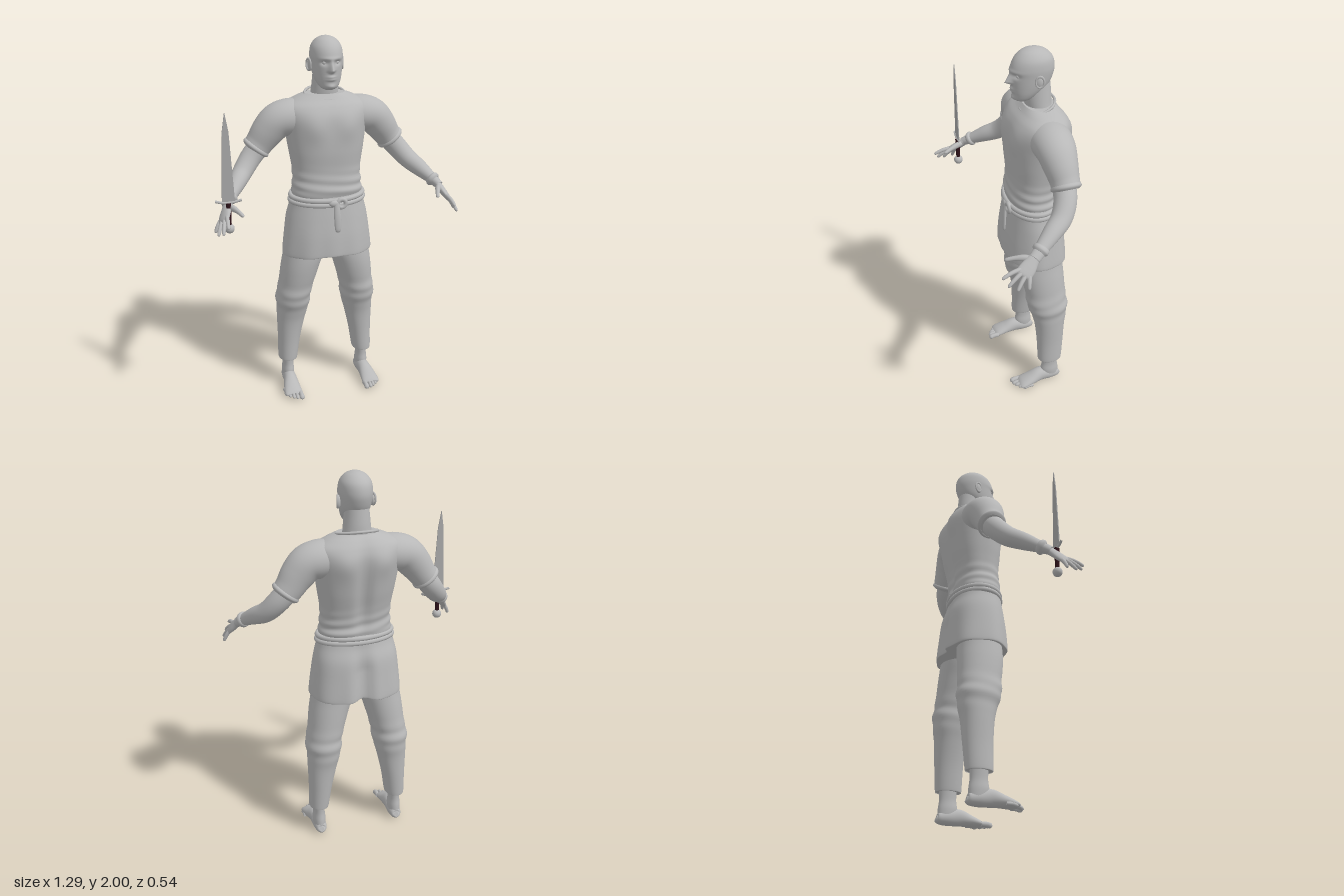
import * as THREE from 'three';

const mat = (name, color, side = THREE.FrontSide) => {
  const m = new THREE.MeshStandardMaterial({ color, side });
  m.name = name;
  return m;
};
const V = (x, y, z) => new THREE.Vector3(x, y, z);
const bump = (d, w) => Math.exp(-(d / w) * (d / w));

// Smooth interpolation of every column of a table of rings
function sample(rows, t) {
  const i = Math.min(Math.floor(t), rows.length - 2), f = t - i;
  const at = k => rows[Math.max(0, Math.min(rows.length - 1, k))];
  return rows[i].map((p1, c) => {
    const p2 = at(i + 1)[c], m1 = (p2 - at(i - 1)[c]) / 2, m2 = (at(i + 2)[c] - p1) / 2;
    return (2 * f ** 3 - 3 * f * f + 1) * p1 + (f ** 3 - 2 * f * f + f) * m1
      + (3 * f * f - 2 * f ** 3) * p2 + (f ** 3 - f * f) * m2;
  });
}

// Skin over rings [x, y, z, a, b]; without ref the rings lie flat and run upwards,
// with ref they stand across the path and b points along ref
function loft(rows, { n = 32, steps = 6, ref = null, square = 1, bend = null } = {}) {
  const pos = [], idx = [], count = (rows.length - 1) * steps + 1;
  const soft = c => Math.sign(c) * Math.abs(c) ** square;
  for (let i = 0; i < count; i++) {
    const t = i / steps, r = sample(rows, t), c = V(r[0], r[1], r[2]);
    let u = V(1, 0, 0), v = V(0, 0, 1);
    if (ref) {
      const p = sample(rows, Math.max(0, t - 0.1)), q = sample(rows, Math.min(rows.length - 1, t + 0.1));
      const T = V(q[0] - p[0], q[1] - p[1], q[2] - p[2]).normalize();
      u = T.clone().cross(ref).normalize();
      v = u.clone().cross(T);
    }
    for (let j = 0; j < n; j++) {
      const w = (j / n) * Math.PI * 2;
      const p = c.clone().addScaledVector(u, Math.max(r[3], 0.001) * soft(Math.cos(w)))
        .addScaledVector(v, Math.max(r[4], 0.001) * soft(Math.sin(w)));
      if (bend) bend(p, c);
      pos.push(p.x, p.y, p.z);
      if (i < count - 1) {
        const a = i * n + j, b = i * n + (j + 1) % n;
        idx.push(a, a + n, b, b, a + n, b + n);
      }
    }
  }
  // End caps with their own corners
  for (const [start, last] of [[0, false], [(count - 1) * n, true]]) {
    const base = pos.length / 3, mid = V(0, 0, 0);
    for (let j = 0; j < n; j++) {
      const p = V(...pos.slice((start + j) * 3, (start + j) * 3 + 3));
      mid.addScaledVector(p, 1 / n);
      pos.push(p.x, p.y, p.z);
    }
    pos.push(mid.x, mid.y, mid.z);
    for (let j = 0; j < n; j++) {
      const a = base + j, b = base + (j + 1) % n;
      idx.push(base + n, last ? b : a, last ? a : b);
    }
  }
  const g = new THREE.BufferGeometry();
  g.setAttribute('position', new THREE.Float32BufferAttribute(pos, 3));
  g.setIndex(idx);
  g.computeVertexNormals();
  return g;
}

// Rope around the body; y is a function of the angle
function hoop(a, b, z, yOf, r) {
  const pts = [];
  for (let i = 0; i < 24; i++) {
    const w = (i / 24) * Math.PI * 2;
    pts.push(V(a * Math.cos(w), yOf(w), z + b * Math.sin(w)));
  }
  return new THREE.TubeGeometry(new THREE.CatmullRomCurve3(pts, true), 96, r, 8, true);
}

// Face relief: brow, sockets, nose, lips, chin
function face(p) {
  if (p.z < -0.05) return;
  const { x, y } = p, ax = Math.abs(x);
  const nose = y > 1.838 ? Math.max(0, (1.895 - y) / 0.057) : Math.max(0, 1 - (1.838 - y) / 0.014);
  p.z += 0.034 * nose * bump(x, 0.009 + 0.006 * nose)
    - 0.013 * bump(ax - 0.034, 0.017) * bump(y - 1.877, 0.011)
    + 0.006 * bump(y - 1.897, 0.009) * bump(x, 0.055)
    + 0.009 * bump(x, 0.022) * (bump(y - 1.806, 0.005) + bump(y - 1.793, 0.006))
    + 0.009 * bump(x, 0.022) * bump(y - 1.757, 0.012);
}

// Shirt relief: spine groove, chest, gathered folds above the belt
function shirtFolds(p, c) {
  const { x, y } = p, ax = Math.abs(x), fold = 1 + 0.022 * Math.sin(y * 110 + x * 14) * bump(y - 1.24, 0.06);
  if (p.z < c.z) p.z += 0.024 * bump(x, 0.035) * bump(y - 1.42, 0.22) - 0.014 * bump(ax - 0.1, 0.06) * bump(y - 1.58, 0.07);
  else p.z += 0.012 * bump(ax - 0.09, 0.06) * bump(y - 1.55, 0.07);
  p.x = c.x + (p.x - c.x) * fold;
  p.z = c.z + (p.z - c.z) * fold;
}

function skirtFolds(p, c) {
  const low = Math.max(0, (1.15 - p.y) / 0.3), w = Math.atan2(p.z - c.z, p.x);
  const k = 1 + 0.014 * low * Math.sin(w * 9);
  p.x *= k;
  p.z = c.z + (p.z - c.z) * k;
  if (p.z < c.z) p.z += 0.03 * bump(p.x, 0.045) * Math.min(1, low * 2);
  p.y += 0.012 * low * (p.z > c.z ? bump(p.x, 0.15) : 1.3 * bump(p.x, 0.06) - 0.6 * bump(p.x, 0.2));
}

function trouserFolds(p, c) {
  const k = 1 + 0.035 * Math.sin(p.y * 75 + p.z * 10) * bump(p.y - 0.57, 0.07);
  p.x = c.x + (p.x - c.x) * k;
  p.z = c.z + (p.z - c.z) * k;
}

export function createModel() {
  const model = new THREE.Group();
  model.name = 'swordsman';
  const grey = mat('plain grey', 0xb8b8b8);
  const steel = mat('blade grey', 0xa8a8a8);
  const leather = mat('dark grip', 0x2e1219);
  const add = (name, geo, parent = model, m = grey) => {
    const mesh = new THREE.Mesh(geo, m);
    mesh.name = name;
    parent.add(mesh);
    return mesh;
  };

  // Head and neck
  add('neck', loft([[0, 1.62, -0.14, 0.085, 0.07], [0, 1.7, -0.125, 0.074, 0.067],
    [0, 1.76, -0.12, 0.067, 0.068], [0, 1.84, -0.115, 0.06, 0.065]]));
  add('head', loft([[0, 1.736, -0.035, 0.02, 0.02], [0, 1.75, -0.042, 0.046, 0.045],
    [0, 1.78, -0.06, 0.064, 0.07], [0, 1.82, -0.08, 0.075, 0.095], [0, 1.87, -0.09, 0.081, 0.107],
    [0, 1.91, -0.092, 0.083, 0.109], [0, 1.95, -0.095, 0.076, 0.095], [0, 1.98, -0.095, 0.054, 0.066],
    [0, 1.995, -0.095, 0.027, 0.033], [0, 2.0, -0.095, 0.002, 0.002]], { n: 96, steps: 8, bend: face }));

  // Shirt body and collar
  add('shirt', loft([[0, 1.16, -0.09, 0.183, 0.12], [0, 1.2, -0.09, 0.192, 0.13], [0, 1.24, -0.09, 0.185, 0.125],
    [0, 1.32, -0.0975, 0.185, 0.1275], [0, 1.42, -0.105, 0.2, 0.143], [0, 1.52, -0.1125, 0.215, 0.15],
    [0, 1.6, -0.1175, 0.23, 0.146], [0, 1.65, -0.122, 0.222, 0.126], [0, 1.685, -0.126, 0.165, 0.097],
    [0, 1.708, -0.123, 0.105, 0.074]], { n: 80, steps: 8, square: 0.88, bend: shirtFolds }));
  add('collar', hoop(0.106, 0.085, -0.118, w => 1.703 - 0.022 * Math.sin(w), 0.007));

  // Skirt and rope belt
  add('skirt', loft([[0, 0.838, -0.1, 0.24, 0.165], [0, 0.85, -0.1, 0.247, 0.17], [0, 0.95, -0.098, 0.236, 0.163],
    [0, 1.05, -0.098, 0.222, 0.151], [0, 1.12, -0.091, 0.205, 0.134], [0, 1.17, -0.088, 0.195, 0.124],
    [0, 1.19, -0.088, 0.183, 0.115]], { n: 80, square: 0.9, bend: skirtFolds }));
  for (const [k, y] of [1.168, 1.144].entries())
    add('beltRope' + k, hoop(0.197 + k * 0.004, 0.128, -0.088, w => y - 0.008 * Math.sin(w), 0.014));
  const knot = add('beltKnot', new THREE.TorusGeometry(0.022, 0.012, 10, 24));
  knot.position.set(0.045, 1.145, 0.047);
  const lump = add('beltKnotCentre', new THREE.SphereGeometry(0.022, 16, 12));
  lump.position.set(0.005, 1.147, 0.045);
  lump.scale.set(1.4, 0.9, 0.8);
  add('beltTail', loft([[0.02, 0.99, 0.065, 0.008, 0.004], [0.02, 1.01, 0.066, 0.017, 0.009],
    [0.018, 1.08, 0.062, 0.019, 0.01], [0.015, 1.15, 0.053, 0.013, 0.009]], { n: 16 }));

  for (const s of [1, -1]) {
    const side = s > 0 ? 'left' : 'right';
    const half = new THREE.Group();
    half.name = side + 'Limbs';
    model.add(half);
    const mir = rows => rows.map(([x, ...rest]) => [x * s, ...rest]);
    const part = (name, rows, o) => add(side + name, loft(mir(rows), o), half);
    const Z = V(0, 0, 1), Y = V(0, 1, 0);

    // Eye and ear
    const eye = add(side + 'Eye', new THREE.SphereGeometry(0.011, 16, 12), half);
    eye.position.set(0.033 * s, 1.877, -0.009);
    const ear = add(side + 'Ear', new THREE.SphereGeometry(1, 16, 12), half);
    ear.position.set(0.083 * s, 1.855, -0.095);
    ear.scale.set(0.01, 0.031, 0.019);
    ear.rotation.y = -0.35 * s;
    const rim = add(side + 'EarRim', new THREE.TorusGeometry(0.02, 0.005, 8, 24), half);
    rim.position.set(0.09 * s, 1.857, -0.098);
    rim.rotation.y = (Math.PI / 2 - 0.35) * s;
    rim.scale.y = 1.4;

    // Sleeve with rolled hem
    part('Sleeve', [[0.1, 1.59, -0.122, 0.09, 0.1], [0.19, 1.587, -0.122, 0.096, 0.105],
      [0.255, 1.57, -0.122, 0.092, 0.098], [0.305, 1.52, -0.125, 0.086, 0.086],
      [0.345, 1.465, -0.13, 0.075, 0.074], [0.37, 1.433, -0.13, 0.07, 0.07],
      [0.377, 1.425, -0.13, 0.064, 0.064]], { n: 40, ref: Z });
    part('SleeveHem', [[0.359, 1.447, -0.13, 0.068, 0.067], [0.366, 1.438, -0.13, 0.076, 0.075],
      [0.373, 1.429, -0.13, 0.075, 0.074], [0.379, 1.421, -0.13, 0.06, 0.06]], { n: 40, ref: Z });

    // Bare arm and wrist band
    part('Arm', [[0.33, 1.47, -0.127, 0.058, 0.058], [0.4, 1.39, -0.115, 0.056, 0.057],
      [0.455, 1.325, -0.075, 0.051, 0.053], [0.5, 1.285, -0.01, 0.044, 0.046],
      [0.545, 1.243, 0.06, 0.03, 0.034], [0.572, 1.215, 0.105, 0.022, 0.029]], { ref: Z });
    part('WristBand', [[0.54, 1.248, 0.053, 0.03, 0.034], [0.545, 1.243, 0.06, 0.038, 0.041],
      [0.551, 1.237, 0.07, 0.038, 0.041], [0.556, 1.232, 0.078, 0.028, 0.032]], { ref: Z });

    // Hand: palm, four spread fingers, thumb
    const spread = V(-0.03 * s, 0.03, 0.045).normalize();
    part('Palm', [[0.56, 1.227, 0.088, 0.02, 0.026], [0.573, 1.205, 0.115, 0.019, 0.032],
      [0.588, 1.18, 0.143, 0.017, 0.04], [0.6, 1.16, 0.168, 0.013, 0.04],
      [0.604, 1.153, 0.176, 0.006, 0.03]], { n: 24, ref: spread });
    const tips = [[0.592, 1.152, 0.272], [0.615, 1.115, 0.25], [0.635, 1.097, 0.21], [0.642, 1.095, 0.155]];
    tips.forEach((t, i) => {
      const k = i / 3, b = [0.584 + 0.031 * k, 1.178 - 0.034 * k, 0.186 - 0.042 * k];
      const at = (f, lift, r) => [...b.map((c, j) => c + (t[j] - c) * f + (j === 1 ? lift : 0)), r, r];
      part('Finger' + i, [at(-0.15, 0, 0.011), at(0.35, 0.006, 0.0105), at(0.7, 0.005, 0.0095),
        at(0.93, 0.001, 0.0075), at(1, 0, 0.002)], { n: 12, steps: 4, ref: spread });
    });
    part('Thumb', [[0.565, 1.212, 0.112, 0.014, 0.016], [0.545, 1.212, 0.15, 0.014, 0.017],
      [0.528, 1.207, 0.188, 0.011, 0.012], [0.514, 1.198, 0.222, 0.009, 0.009],
      [0.51, 1.195, 0.232, 0.002, 0.002]], { n: 14, ref: Y });

    // Trouser leg
    part('TrouserLeg', [[0.222, 0.172, -0.137, 0.05, 0.066], [0.222, 0.18, -0.137, 0.054, 0.069],
      [0.212, 0.3, -0.14, 0.063, 0.075], [0.2, 0.42, -0.139, 0.078, 0.084], [0.19, 0.5, -0.135, 0.089, 0.1],
      [0.187, 0.57, -0.125, 0.097, 0.113], [0.175, 0.63, -0.12, 0.095, 0.111], [0.15, 0.75, -0.108, 0.105, 0.117],
      [0.127, 0.85, -0.104, 0.112, 0.116], [0.11, 1.0, -0.11, 0.11, 0.11]],
    { n: 48, square: 0.95, bend: trouserFolds });

    // Bare ankle, foot and toes
    part('Ankle', [[0.223, 0.03, -0.145, 0.032, 0.046], [0.223, 0.08, -0.138, 0.035, 0.051],
      [0.223, 0.13, -0.138, 0.031, 0.045], [0.223, 0.2, -0.138, 0.035, 0.048]]);
    part('Foot', [[0.222, 0.036, -0.198, 0.01, 0.012], [0.222, 0.034, -0.187, 0.028, 0.028],
      [0.222, 0.039, -0.14, 0.036, 0.038], [0.224, 0.046, -0.08, 0.037, 0.043],
      [0.229, 0.034, -0.02, 0.045, 0.031], [0.231, 0.022, 0.03, 0.049, 0.02],
      [0.231, 0.017, 0.05, 0.042, 0.01]], { ref: Y });
    for (let i = 0; i < 5; i++) {
      const r = i ? 0.0105 - i * 0.0004 : 0.014, x = i ? 0.199 + i * 0.0185 : 0.193, z = 0.094 - 0.003 * i * (i + 0.6);
      part('Toe' + i, [[x, 0.018, z - 0.06, r, r], [x, 0.018, z - 0.03, r * 0.9, r],
        [x, 0.013, z - 0.01, r, r], [x, 0.011, z, r * 0.3, r * 0.3]], { n: 12, steps: 4, ref: Y });
    }
  }

  // Sword held upright in the right hand
  const sword = new THREE.Group();
  sword.name = 'sword';
  sword.position.set(-0.567, 0, 0.138);
  model.add(sword);
  const outline = new THREE.Shape([[-0.033, 1.24], [0.033, 1.24], [0.016, 1.6], [0, 1.697], [-0.016, 1.6]]
    .map(([x, y]) => new THREE.Vector2(x, y)));
  add('blade', new THREE.ExtrudeGeometry(outline, { depth: 0.005, bevelEnabled: false }), sword, steel)
    .position.z = -0.0025;
  add('guard', new THREE.TubeGeometry(new THREE.CatmullRomCurve3([V(-0.066, 1.252, -0.004), V(-0.03, 1.243, 0),
    V(0.03, 1.243, 0), V(0.066, 1.252, 0.004)]), 24, 0.007, 8), sword);
  add('grip', new THREE.CylinderGeometry(0.013, 0.011, 0.12, 16), sword, leather).position.y = 1.18;
  add('pommel', new THREE.SphereGeometry(0.025, 20, 14), sword).position.y = 1.105;
  return model;
}
